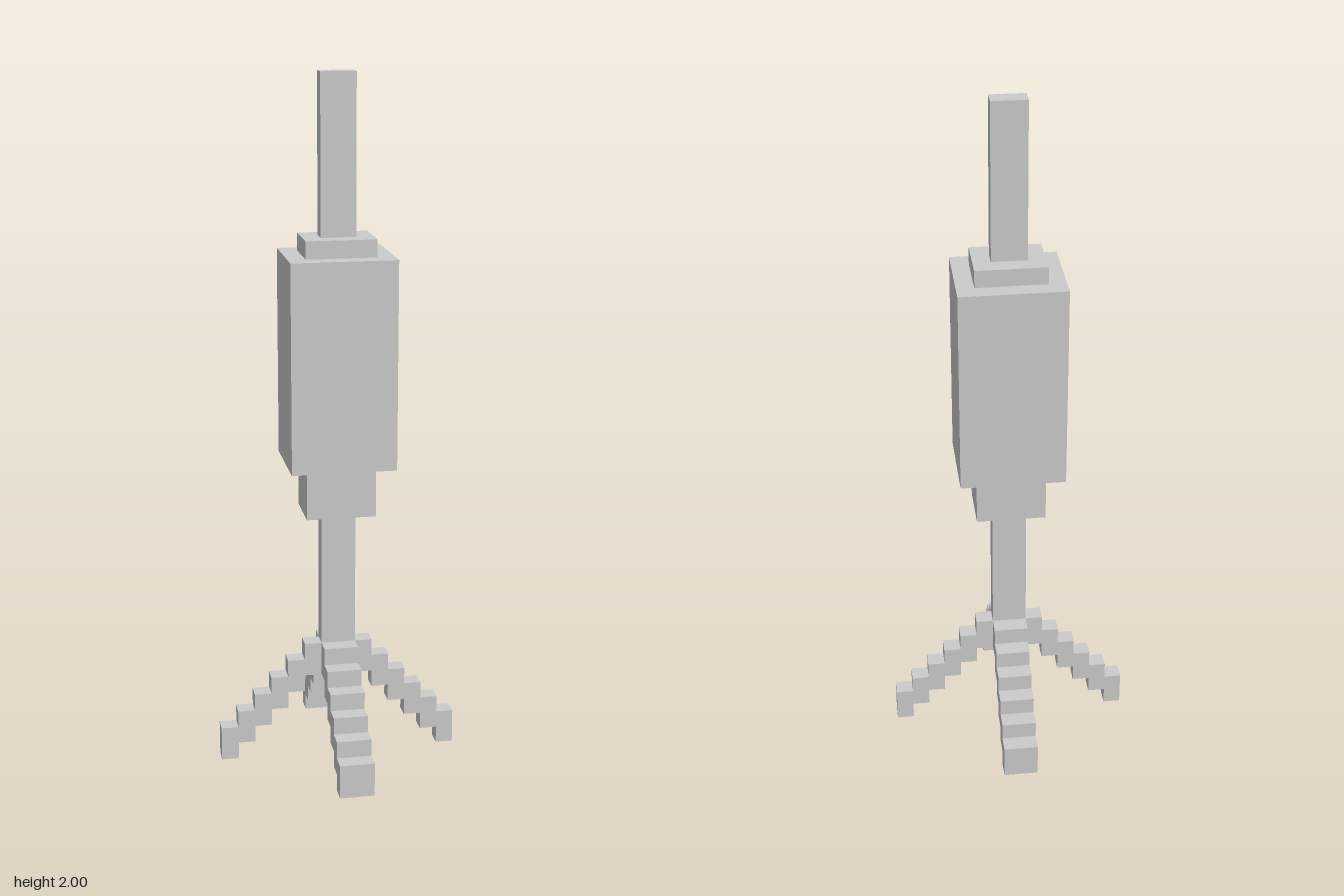
import * as THREE from 'three';

const STEP = 0.05;   // run and drop of each stair in a leg
const STEPS = 6;

export function createModel() {
  const model = new THREE.Group();
  model.name = 'standOnFourSteppedLegs';
  const material = new THREE.MeshStandardMaterial({ color: 0xcccccc, flatShading: true });

  const add = (name, geometry) => {
    const mesh = new THREE.Mesh(geometry, material);
    mesh.name = name;
    model.add(mesh);
    return mesh;
  };

  // Central column: stacked blocks [name, width, depth, bottom, top]
  const blocks = [
    ['lowerPole', 0.1, 0.05, 0.25, 0.75],
    ['collar', 0.2, 0.15, 0.75, 0.9],
    ['body', 0.3, 0.25, 0.9, 1.5],
    ['cap', 0.2, 0.15, 1.5, 1.55],
    ['upperPole', 0.1, 0.05, 1.55, 2],
  ];
  for (const [name, width, depth, bottom, top] of blocks) {
    add(name, new THREE.BoxGeometry(width, top - bottom, depth)).position.y = (bottom + top) / 2;
  }

  // Staircase silhouette of a leg: x runs outward, y is height
  const outline = [];
  for (let i = 0; i < STEPS; i++) {
    const y = 0.35 - i * STEP;
    outline.push(new THREE.Vector2(i * STEP, y), new THREE.Vector2((i + 1) * STEP, y));
  }
  for (let i = STEPS - 1; i >= 0; i--) {
    const y = 0.25 - i * STEP;
    outline.push(new THREE.Vector2((i + 1) * STEP, y), new THREE.Vector2(i * STEP, y));
  }
  const legShape = new THREE.Shape(outline);

  // Four legs, each starting at a face of the pole and as wide as that face
  ['leftLeg', 'backLeg', 'rightLeg', 'frontLeg'].forEach((name, i) => {
    const sideways = i % 2 === 0;
    const width = sideways ? 0.05 : 0.1;
    const start = sideways ? 0.05 : 0.025;
    const geometry = new THREE.ExtrudeGeometry(legShape, { depth: width, bevelEnabled: false });
    geometry.translate(start, 0, -width / 2);
    add(name, geometry).rotation.y = i * Math.PI / 2;
  });

  return model;
}
